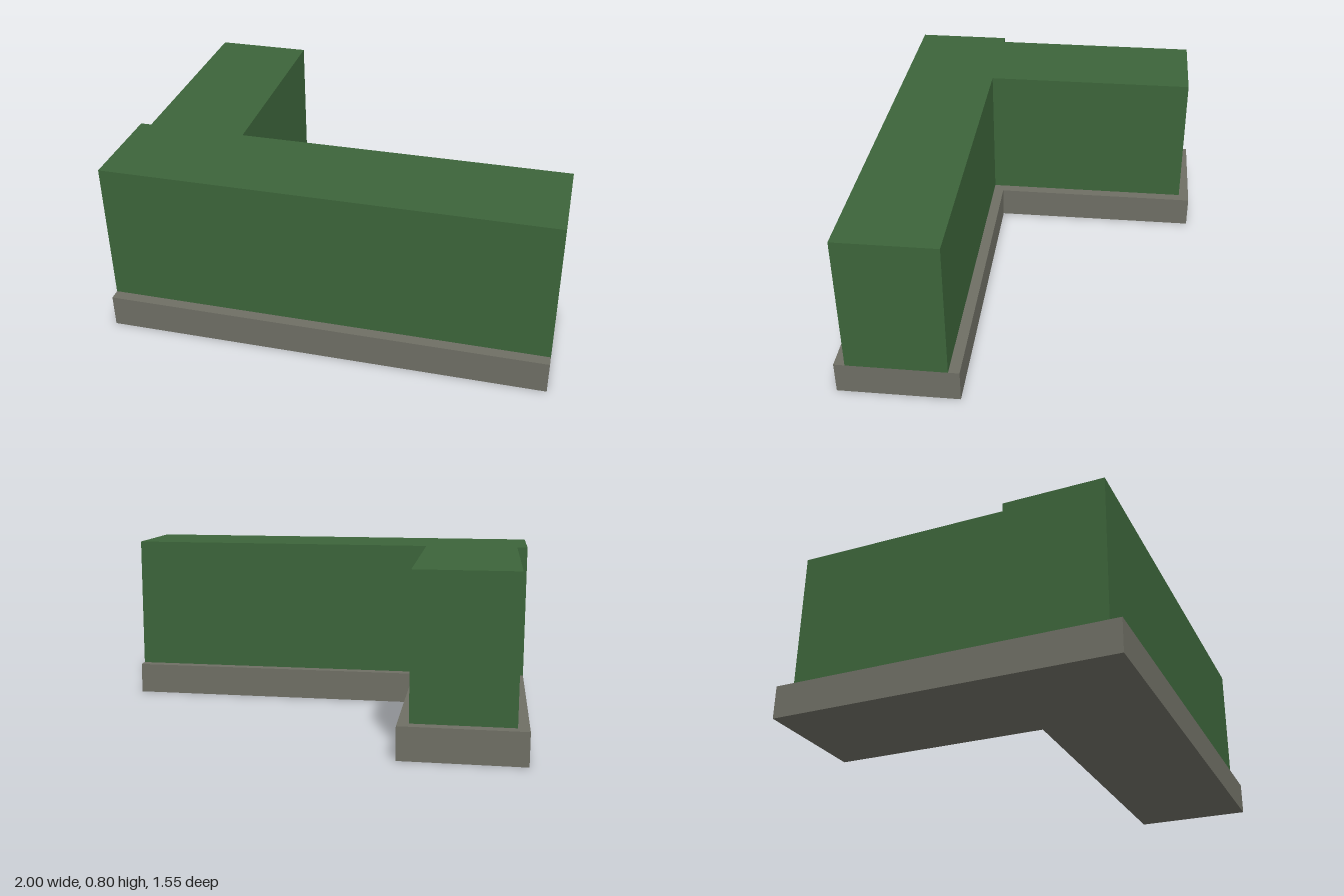
import * as THREE from 'three';

// Extrude a plan outline of [x, z] corners upward from y0 to y1
function extrudePlan(name, corners, y0, y1, material) {
  const shape = new THREE.Shape(corners.map(([x, z]) => new THREE.Vector2(x, -z)));
  const geometry = new THREE.ExtrudeGeometry(shape, { depth: y1 - y0, bevelEnabled: false });
  geometry.rotateX(-Math.PI / 2);
  geometry.translate(0, y0, 0);
  const mesh = new THREE.Mesh(geometry, material);
  mesh.name = name;
  return mesh;
}

export function createModel() {
  const stone = new THREE.MeshStandardMaterial({ color: 0x6e6e64 });
  stone.name = 'stone';
  const leaves = new THREE.MeshStandardMaterial({ color: 0x3c643a });
  leaves.name = 'leaves';

  const group = new THREE.Group();
  group.name = 'cornerHedge';

  // L-shaped stone kerb
  group.add(extrudePlan('base', [
    [-1, 0.775], [1, 0.775], [1, 0.225], [-0.45, 0.225], [-0.45, -0.775], [-1, -0.775],
  ], 0, 0.15, stone));

  // Hedge: full-width front run with a slightly inset rear wing
  group.add(extrudePlan('hedge', [
    [-1, 0.725], [1, 0.725], [1, 0.275], [-0.5, 0.275],
    [-0.5, -0.725], [-0.95, -0.725], [-0.95, 0.275], [-1, 0.275],
  ], 0.15, 0.8, leaves));

  return group;
}
